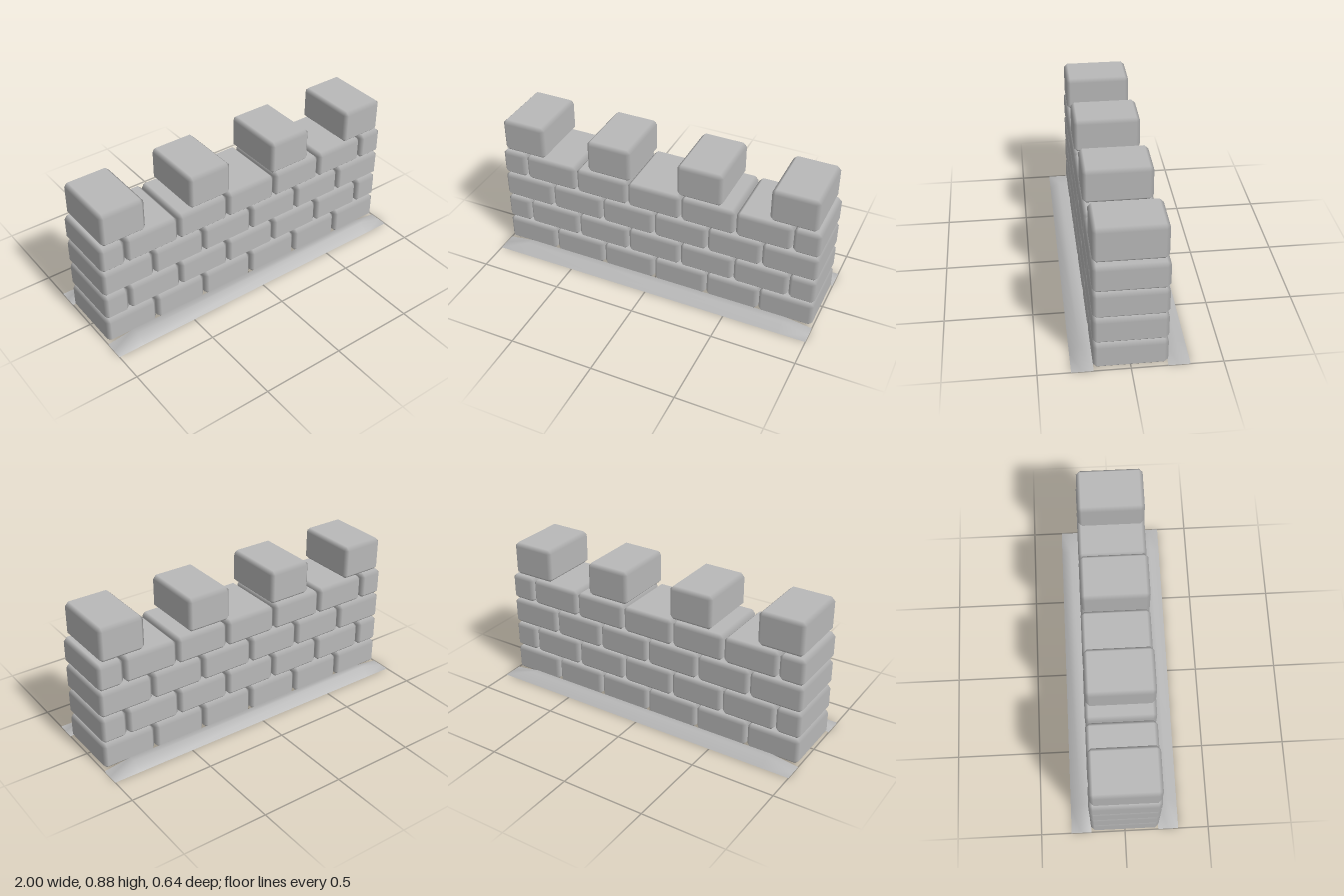
import * as THREE from 'three';
import { ConvexGeometry } from 'three/addons/geometries/ConvexGeometry.js';

const CHAMFER = 0.022;

// Block with bevelled edges; each corner keeps the normal of its flat side, so bevels shade softly.
function bevelledBlock(w, h, d) {
  const half = [w / 2, h / 2, d / 2];
  const points = [];
  for (let axis = 0; axis < 3; axis++) {
    for (let s = 0; s < 8; s++) {
      const p = half.map((v, i) => ((s >> i) & 1 ? 1 : -1) * (i === axis ? v : v - CHAMFER));
      points.push(new THREE.Vector3(...p));
    }
  }
  const geo = new ConvexGeometry(points);
  const pos = geo.attributes.position;
  for (let i = 0; i < pos.count; i++) {
    const p = [pos.getX(i), pos.getY(i), pos.getZ(i)];
    const n = p.map((v, k) => (half[k] - Math.abs(v) < CHAMFER / 2 ? Math.sign(v) : 0));
    geo.attributes.normal.setXYZ(i, ...n);
  }
  return geo;
}

// Sloping strip at the foot of the wall, tapering to the ground at both ends.
function footingGeometry() {
  const stations = [-1, -0.84, 0.84, 1];
  const profile = [[0.2, 0.024], [0.262, 0.045], [0.32, 0]];
  const verts = [], index = [];
  stations.forEach((x, i) => {
    const end = i === 0 || i === stations.length - 1;
    profile.forEach(([z, y], j) => {
      verts.push(x, end ? 0 : y, z);
      if (i < stations.length - 1 && j < profile.length - 1) {
        const a = i * profile.length + j, b = a + profile.length;
        index.push(a, a + 1, b, b, a + 1, b + 1);
      }
    });
  });
  const geo = new THREE.BufferGeometry();
  geo.setAttribute('position', new THREE.Float32BufferAttribute(verts, 3));
  geo.setIndex(index);
  geo.computeVertexNormals();
  return geo;
}

export function createModel() {
  const wall = new THREE.Group();
  wall.name = 'battlementWall';
  const stone = new THREE.MeshStandardMaterial({ color: 0xb8b8b8 });
  stone.name = 'grey stone';
  stone.side = THREE.DoubleSide;

  function addBlock(parent, name, x0, x1, y0, y1, z0, z1) {
    const mesh = new THREE.Mesh(bevelledBlock(x1 - x0, y1 - y0, z1 - z0), stone);
    mesh.position.set((x0 + x1) / 2, (y0 + y1) / 2, (z0 + z1) / 2);
    mesh.name = name;
    parent.add(mesh);
  }

  // Four courses of bricks in running bond
  const joints = [
    [-0.997, -0.667, -0.335, 0, 0.335, 0.663, 0.997],
    [-0.997, -0.837, -0.5, -0.167, 0.167, 0.5, 0.833, 0.997],
  ];
  for (let row = 0; row < 4; row++) {
    const course = new THREE.Group();
    course.name = 'course' + (row + 1);
    const xs = joints[row % 2];
    const y = 0.004 + row * 0.1667;
    for (let i = 0; i < xs.length - 1; i++) {
      addBlock(course, 'brick', xs[i] + 0.004, xs[i + 1] - 0.004, y, y + 0.161, -0.202, 0.202);
    }
    wall.add(course);
  }

  // Merlons on top
  const merlons = new THREE.Group();
  merlons.name = 'merlons';
  for (const x of [-0.838, -0.282, 0.28, 0.831]) {
    addBlock(merlons, 'merlon', x - 0.137, x + 0.137, 0.671, 0.877, -0.194, 0.198);
  }
  wall.add(merlons);

  // Footing strips, front and back
  const strip = footingGeometry();
  ['frontFooting', 'backFooting'].forEach((name, i) => {
    const mesh = new THREE.Mesh(strip, stone);
    mesh.name = name;
    mesh.rotation.y = i * Math.PI;
    wall.add(mesh);
  });
  return wall;
}
